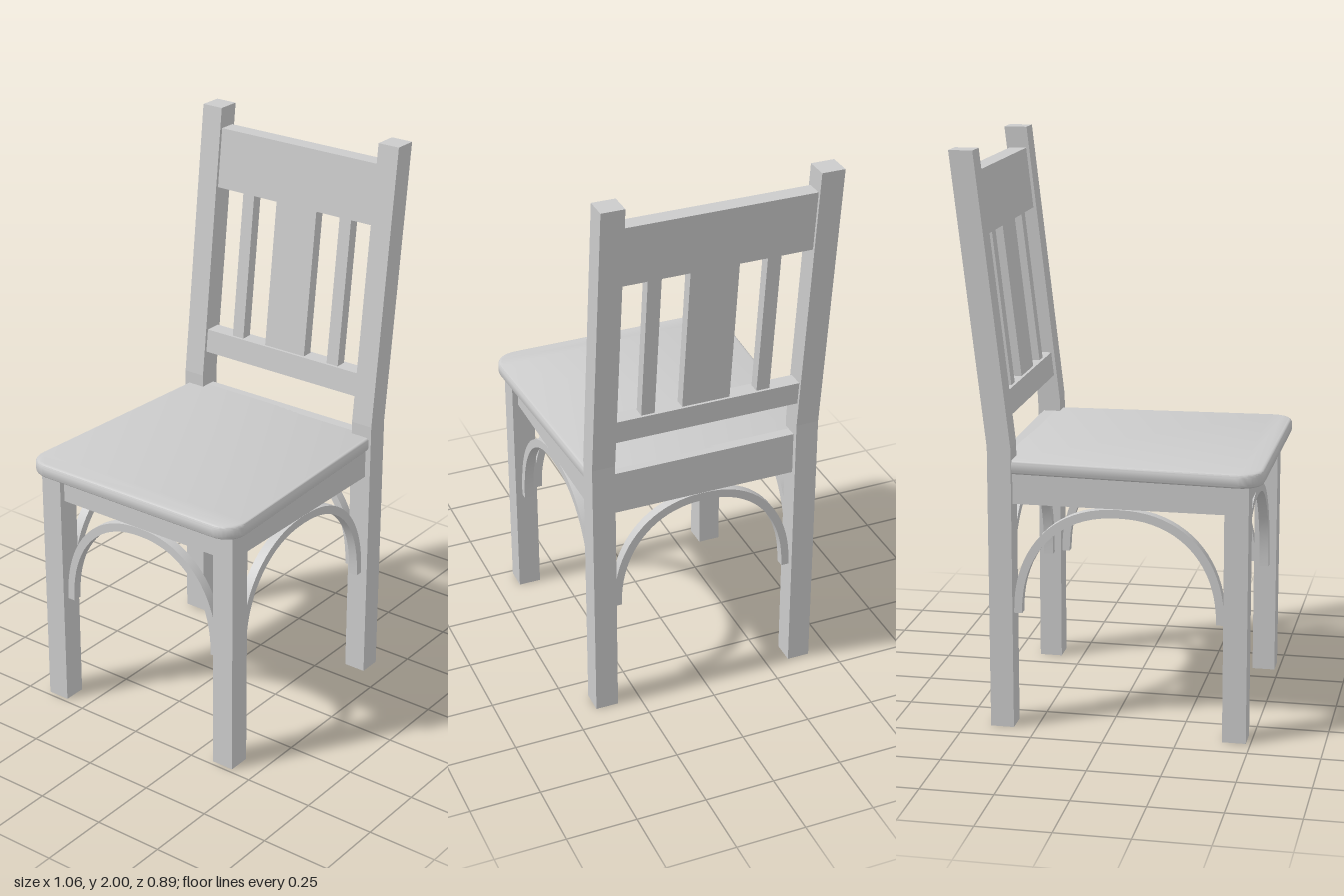
import * as THREE from 'three';
import { toCreasedNormals } from 'three/addons/utils/BufferGeometryUtils.js';

const LEG = 0.082;       // leg thickness
const LEG_Z = 0.375;     // leg centre line, either side
const FRONT_X = -0.443, BACK_X = 0.37;
const LEAN = 0.115;      // backward lean of the backrest per unit of height
const backX = (y) => BACK_X + Math.max(0, y - 1) * LEAN;

export function createModel() {
  const chair = new THREE.Group();
  chair.name = 'chair';
  const material = new THREE.MeshStandardMaterial({ color: 0xcccccc });

  function add(name, geometry, x = 0, y = 0, z = 0) {
    const mesh = new THREE.Mesh(geometry, material);
    mesh.name = name;
    mesh.position.set(x, y, z);
    chair.add(mesh);
    return mesh;
  }
  const box = (name, w, h, d, x, y, z) => add(name, new THREE.BoxGeometry(w, h, d), x, y, z);

  // Side profile extruded across z
  function profile(name, points, width, z) {
    const shape = new THREE.Shape(points.map(([x, y]) => new THREE.Vector2(x, y)));
    const geometry = new THREE.ExtrudeGeometry(shape, { depth: width, bevelEnabled: false });
    geometry.translate(0, 0, -width / 2);
    return add(name, geometry, 0, 0, z);
  }

  // Leaning member of the backrest between two heights
  function leaning(name, y0, y1, thickness, width, z) {
    const t = thickness / 2;
    profile(name, [
      [backX(y0) - t, y0], [backX(y0) + t, y0],
      [backX(y1) + t, y1], [backX(y1) - t, y1],
    ], width, z);
  }

  // Legs; the back pair bends and runs up as backrest posts
  for (const side of [1, -1]) {
    const label = side > 0 ? 'Left' : 'Right';
    box('frontLeg' + label, LEG, 0.905, LEG, FRONT_X, 0.4525, side * LEG_Z);
    const h = LEG / 2;
    profile('backPost' + label, [
      [BACK_X - h, 0], [BACK_X + h, 0], [BACK_X + h, 1], [backX(2) + h, 2],
      [backX(2) - h, 2], [BACK_X - h, 1],
    ], LEG, side * LEG_Z);
  }

  // Tapered seat board with rounded front corners and softened edges
  const bevel = 0.013, r = 0.075;
  const xf = -0.53 + bevel, xb = 0.36, zf = 0.448 - bevel, zb = 0.405 - bevel;
  const seat = new THREE.Shape();
  seat.moveTo(xb, -zb);
  seat.lineTo(xb, zb);
  seat.lineTo(xf + r, zf - 0.003);
  seat.bezierCurveTo(xf + r * 0.4, zf, xf, zf - r * 0.4, xf, zf - r);
  seat.lineTo(xf, -zf + r);
  seat.bezierCurveTo(xf, -zf + r * 0.4, xf + r * 0.4, -zf, xf + r, -zf + 0.003);
  seat.closePath();
  const seatGeometry = new THREE.ExtrudeGeometry(seat, {
    depth: 0.05 - 2 * bevel, bevelThickness: bevel, bevelSize: bevel,
    bevelSegments: 4, curveSegments: 10,
  });
  seatGeometry.rotateX(Math.PI / 2);
  add('seat', toCreasedNormals(seatGeometry, 0.6), 0, 0.955 - bevel, 0);

  // Aprons under the seat; the back one rises to the seat top
  const midX = (FRONT_X + BACK_X) / 2;
  const spanX = BACK_X - FRONT_X - LEG, spanZ = 2 * LEG_Z - LEG;
  const rail = 0.04;
  box('frontApron', rail, 0.105, spanZ, FRONT_X, 0.8525, 0);
  box('backApron', rail, 0.155, spanZ, BACK_X, 0.8775, 0);
  for (const side of [1, -1]) box('sideApron', spanX, 0.105, rail, midX, 0.8525, side * LEG_Z);

  // Bentwood arches between neighbouring legs
  function arch(name, span, x, z, turn) {
    const curve = (a, b) => Array.from({ length: 41 }, (_, i) => {
      const t = Math.PI * i / 40, c = Math.cos(t), s = Math.max(0, Math.sin(t));
      return new THREE.Vector2(
        Math.sign(c) * a * Math.abs(c) ** 0.9, 0.41 + b * s ** 0.9);
    });
    const outer = curve(span / 2, 0.387);
    const inner = curve(span / 2 - 0.028, 0.357).reverse();
    const geometry = new THREE.ExtrudeGeometry(new THREE.Shape([...outer, ...inner]),
      { depth: 0.034, bevelEnabled: false });
    geometry.translate(0, 0, -0.017);
    add(name, toCreasedNormals(geometry, 0.6), x, 0, z).rotation.y = turn;
  }
  arch('frontArch', spanZ, FRONT_X, 0, Math.PI / 2);
  arch('backArch', spanZ, BACK_X, 0, Math.PI / 2);
  for (const side of [1, -1]) arch('sideArch', spanX, midX, side * LEG_Z, 0);

  // Backrest: two cross rails and three slats
  leaning('lowerBackRail', 1.09, 1.175, 0.06, spanZ, 0);
  leaning('crestRail', 1.71, 1.925, 0.06, spanZ, 0);
  leaning('centreSlat', 1.175, 1.71, 0.04, 0.172, 0.006);
  for (const z of [0.215, -0.203]) leaning('sideSlat', 1.175, 1.71, 0.04, 0.048, z);

  return chair;
}
